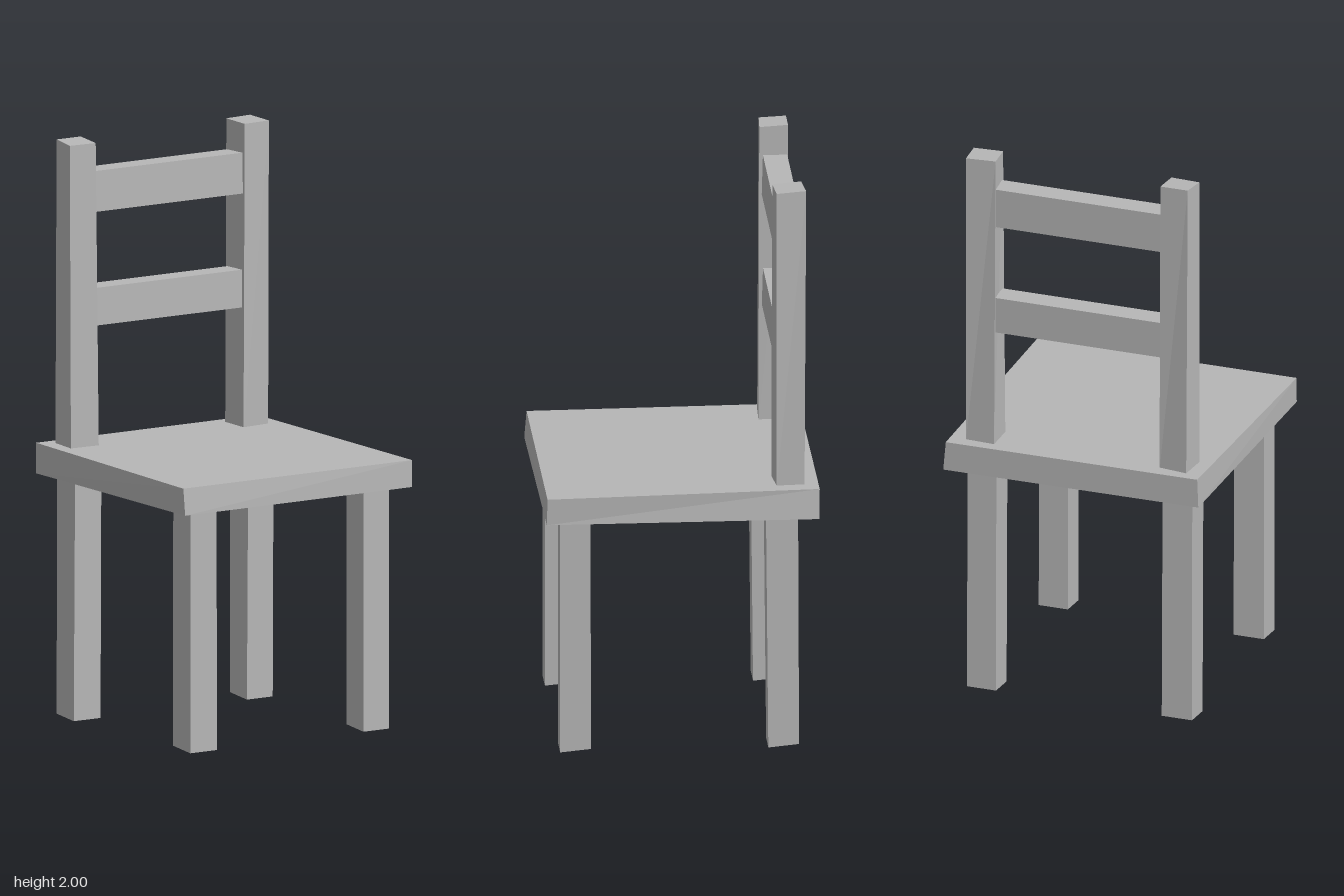
import * as THREE from 'three';

const paint = new THREE.MeshStandardMaterial({ color: 0xb6b6b6 });
paint.name = 'plain grey';

// Hand-cut block: corners run back-left, back-right, front-right, front-left as [x, z];
// y0 and y1 are one height, or a [back, front] pair for a sloping face.
function block(name, bottom, top, y0, y1) {
  const g = new THREE.BoxGeometry(1, 1, 1).toNonIndexed();
  const p = g.attributes.position;
  for (let i = 0; i < p.count; i++) {
    const right = p.getX(i) > 0, front = p.getZ(i) > 0, up = p.getY(i) > 0;
    const corner = front ? (right ? 2 : 3) : (right ? 1 : 0);
    const [x, z] = (up ? top : bottom)[corner];
    const y = up ? y1 : y0;
    p.setXYZ(i, x, Array.isArray(y) ? y[front ? 1 : 0] : y, z);
  }
  g.computeVertexNormals();
  const mesh = new THREE.Mesh(g, paint);
  mesh.name = name;
  return mesh;
}

const rect = (x0, x1, z0, z1) => [[x0, z0], [x1, z0], [x1, z1], [x0, z1]];

export function createModel() {
  const chair = new THREE.Group();
  chair.name = 'chair';

  // Slightly uneven seat slab
  chair.add(block('seat',
    [[-0.455, -0.465], [0.47, -0.47], [0.467, 0.462], [-0.47, 0.47]],
    [[-0.452, -0.468], [0.46, -0.472], [0.47, 0.46], [-0.472, 0.462]],
    0.84, [0.945, 0.933]));

  // Four legs, just entering the seat
  for (const [side, x0, x1] of [['right', -0.41, -0.3], ['left', 0.302, 0.408]]) {
    chair.add(block(side + 'FrontLeg', rect(x0, x1, 0.307, 0.412), rect(x0, x1 - 0.002, 0.308, 0.412), [0.01, 0], 0.85));
    chair.add(block(side + 'BackLeg', rect(x0, x1, -0.405, -0.3), rect(x0, x1 - 0.002, -0.402, -0.292), [0.01, 0], 0.85));
  }

  // Two back posts, slightly twisted
  chair.add(block('rightBackPost',
    [[-0.398, -0.43], [-0.296, -0.416], [-0.295, -0.318], [-0.407, -0.322]],
    [[-0.4, -0.42], [-0.301, -0.42], [-0.305, -0.322], [-0.408, -0.327]], 0.93, [2, 1.993]));
  chair.add(block('leftBackPost',
    [[0.3, -0.43], [0.405, -0.424], [0.408, -0.328], [0.3, -0.318]],
    [[0.298, -0.42], [0.402, -0.43], [0.411, -0.328], [0.307, -0.321]], 0.93, [2, 1.995]));

  // Two horizontal back rails
  for (const [name, y0, y1] of [['upperRail', 1.752, 1.893], ['lowerRail', 1.357, 1.487]])
    chair.add(block(name, rect(-0.31, 0.31, -0.415, -0.33), rect(-0.31, 0.31, -0.417, -0.334), y0, y1));

  return chair;
}
